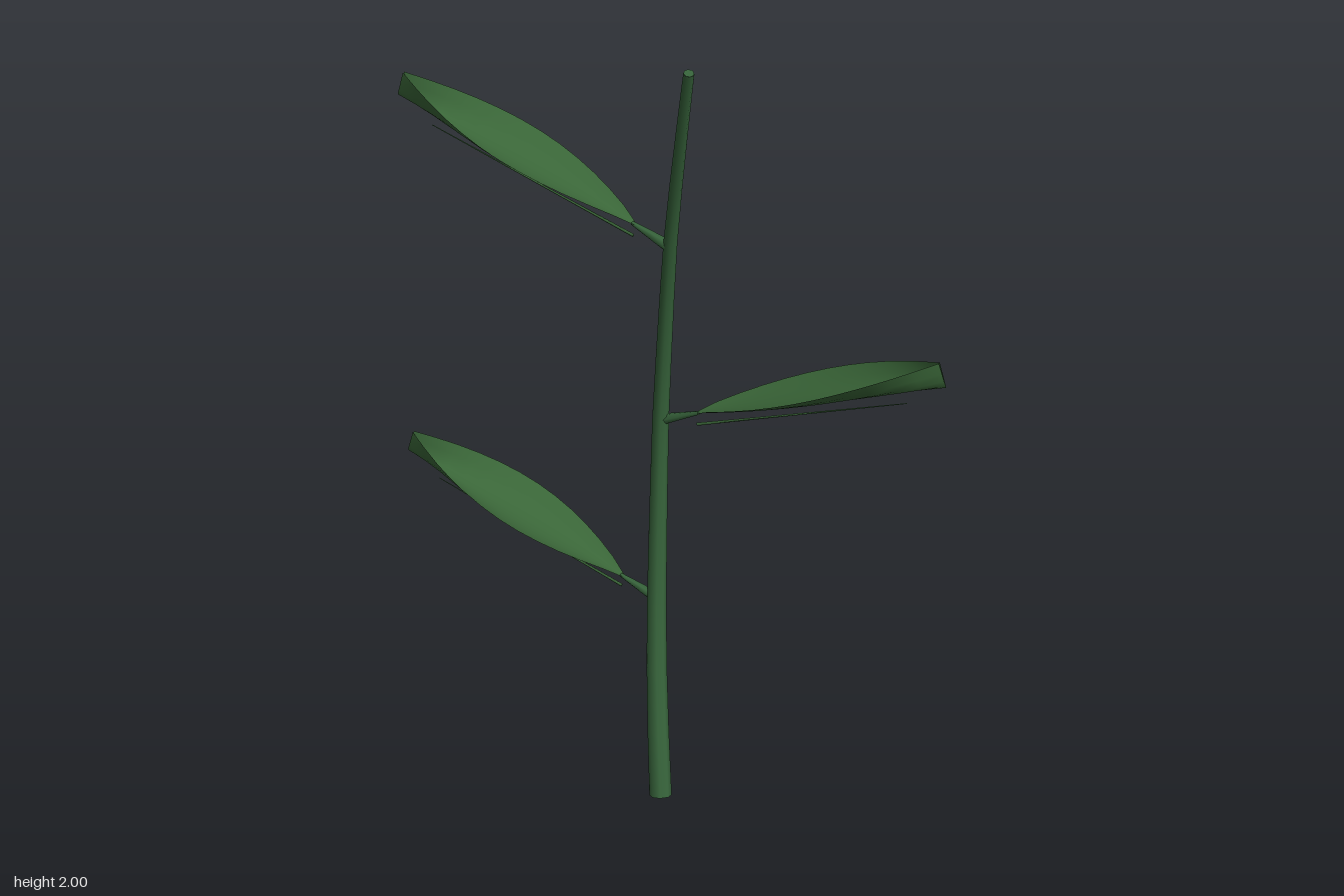
import * as THREE from 'three';

const stemGreen = new THREE.MeshStandardMaterial({ color: 0x36623a });
stemGreen.name = 'stemGreen';
const leafGreen = new THREE.MeshStandardMaterial({ color: 0x3a6638, side: THREE.DoubleSide });
leafGreen.name = 'leafGreen';

const vec = (p) => new THREE.Vector3(...p);

// Tube whose radius runs from r0 to r1, with a flat cap at each end
function taperedTube(name, points, r0, r1, segments, sides, material) {
  const curve = new THREE.CatmullRomCurve3(points);
  const geometry = new THREE.TubeGeometry(curve, segments, 1, sides);
  const pos = geometry.attributes.position;
  const v = new THREE.Vector3();
  for (let i = 0; i < pos.count; i++) {
    const t = Math.floor(i / (sides + 1)) / segments;
    const centre = curve.getPointAt(t);
    v.fromBufferAttribute(pos, i).sub(centre).multiplyScalar(THREE.MathUtils.lerp(r0, r1, t)).add(centre);
    pos.setXYZ(i, v.x, v.y, v.z);
  }
  const group = new THREE.Group();
  group.name = name;
  const tube = new THREE.Mesh(geometry, material);
  tube.name = name + 'Tube';
  group.add(tube);
  for (const [t, r, sign] of [[0, r0, -1], [1, r1, 1]]) {
    const cap = new THREE.Mesh(new THREE.CircleGeometry(r, sides), material);
    cap.name = name + 'Cap';
    cap.position.copy(curve.getPointAt(t));
    cap.lookAt(cap.position.clone().addScaledVector(curve.getTangentAt(t), sign));
    group.add(cap);
  }
  return group;
}

// Cupped blade: pointed outline, margins curling up more and more towards the tip
function bladeGeometry(base, along, across, up) {
  const rows = 12, cols = 8, positions = [], index = [];
  for (let i = 0; i <= rows; i++) {
    const t = i / rows;
    const halfWidth = Math.max(0.003, 0.102 * Math.pow(Math.max(0, Math.sin(Math.PI * t)), 0.88));
    const cup = 0.062 * Math.pow(t, 0.65);
    for (let j = 0; j <= cols; j++) {
      const u = (j / cols) * 2 - 1;
      const p = base.clone().addScaledVector(along, t)
        .addScaledVector(across, u * halfWidth).addScaledVector(up, cup * u * u);
      positions.push(p.x, p.y, p.z);
      if (i < rows && j < cols) {
        const a = i * (cols + 1) + j, b = a + cols + 1;
        index.push(a, b, a + 1, b, b + 1, a + 1);
      }
    }
  }
  const geometry = new THREE.BufferGeometry();
  geometry.setAttribute('position', new THREE.Float32BufferAttribute(positions, 3));
  geometry.setIndex(index);
  geometry.computeVertexNormals();
  return geometry;
}

// Leaf with stalk, blade and a fine rib running just below the blade
function makeLeaf(name, rootPoint, basePoint, tipPoint) {
  const root = vec(rootPoint), base = vec(basePoint);
  const along = vec(tipPoint).sub(base);
  const across = new THREE.Vector3(along.z, 0, -along.x).normalize();
  const up = along.clone().cross(across).normalize();
  const leaf = new THREE.Group();
  leaf.name = name;
  const blade = new THREE.Mesh(bladeGeometry(base, along, across, up), leafGreen);
  blade.name = 'blade';
  const ribPoint = (t) => base.clone().addScaledVector(along, t).addScaledVector(up, -0.029);
  leaf.add(
    blade,
    taperedTube('stalk', [root, base.clone().addScaledVector(along, 0.02)], 0.015, 0.005, 2, 6, stemGreen),
    taperedTube('rib', [ribPoint(0.0), ribPoint(0.84)], 0.004, 0.001, 2, 5, leafGreen),
  );
  return leaf;
}

export function createModel() {
  const model = new THREE.Group();
  model.name = 'leafyTwig';

  // Bowed main stem
  const stemPath = [
    [0.13, 0.01, 0.125], [0.06, 0.27, 0.068], [0.01, 0.52, 0.02], [-0.014, 0.76, -0.01],
    [-0.019, 1.0, -0.022], [0.005, 1.25, -0.013], [0.058, 1.52, 0.022], [0.135, 1.77, 0.072],
    [0.215, 1.996, 0.125],
  ].map(vec);
  model.add(taperedTube('stem', stemPath, 0.029, 0.012, 12, 8, stemGreen));

  // Alternating leaves
  model.add(
    makeLeaf('lowerLeaf', [0.01, 0.515, 0.02], [-0.075, 0.552, 0.05], [-0.675, 0.768, 0.258]),
    makeLeaf('middleLeaf', [-0.018, 1.005, -0.022], [0.065, 1.042, -0.053], [0.668, 1.262, -0.258]),
    makeLeaf('upperLeaf', [0.055, 1.505, 0.02], [-0.028, 1.542, 0.047], [-0.632, 1.76, 0.256]),
  );
  return model;
}
